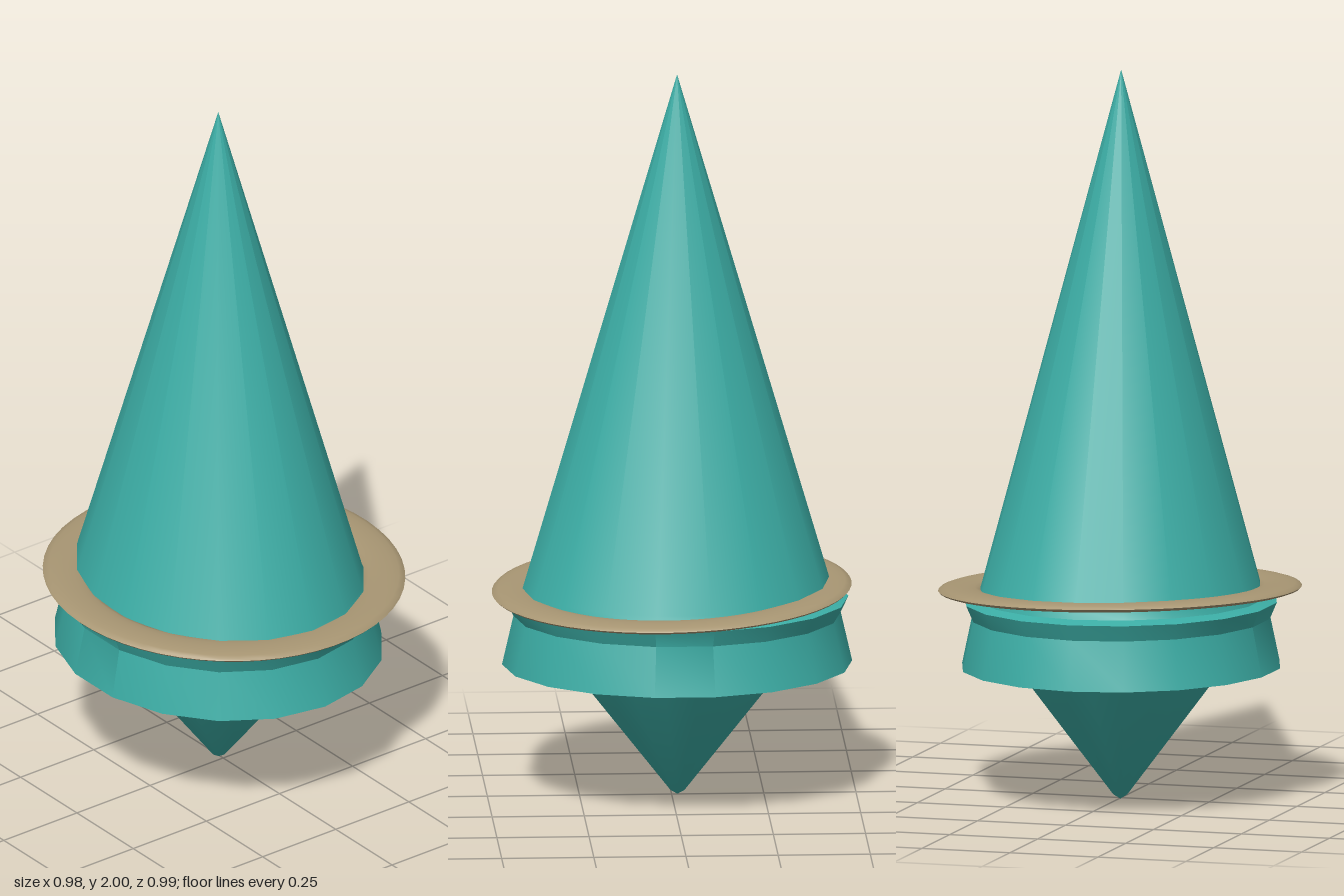
import * as THREE from 'three';
import { toCreasedNormals } from 'three/addons/utils/BufferGeometryUtils.js';

export function createModel() {
  const model = new THREE.Group();
  const teal = new THREE.MeshStandardMaterial({ color: 0x3caea6 });
  teal.name = 'teal';
  const tan = new THREE.MeshStandardMaterial({ color: 0xa89673 });
  tan.name = 'tan';

  // Turned part with a slightly oval plan; profile runs from bottom to top
  function turned(name, profile, sides, depth, material) {
    const points = profile.map(([r, y]) => new THREE.Vector2(r, y));
    const lathe = new THREE.LatheGeometry(points, sides, Math.PI / 2);
    lathe.scale(1, 1, depth);
    const mesh = new THREE.Mesh(toCreasedNormals(lathe, 0.6), material);
    mesh.name = name;
    model.add(mesh);
    return mesh;
  }

  // Tall cone with its skirt, flat underside and flared lip below the ring
  turned('upperCone', [
    [0.25, 0.365], [0.475, 0.365], [0.444, 0.5], [0.465, 0.545],
    [0.428, 0.555], [0.418, 0.58], [0, 2],
  ], 18, 0.91, teal).position.set(-0.015, 0, 0.005);

  // Point hanging under the skirt
  turned('lowerPoint', [[0, 0], [0.02, 0.012], [0.298, 0.366]], 18, 0.95, teal)
    .position.set(-0.016, 0, 0.003);

  // Thin brim ring, tipped slightly
  const section = [];
  for (let i = 0; i <= 16; i++) {
    const a = (i / 16) * Math.PI * 2;
    section.push([0.43 + 0.058 * Math.cos(a), 0.012 * Math.sin(a)]);
  }
  const ring = turned('brimRing', section, 56, 1.012, tan);
  ring.position.set(0, 0.576, -0.003);
  ring.rotation.set(-0.025, 0, -0.026);

  return model;
}
